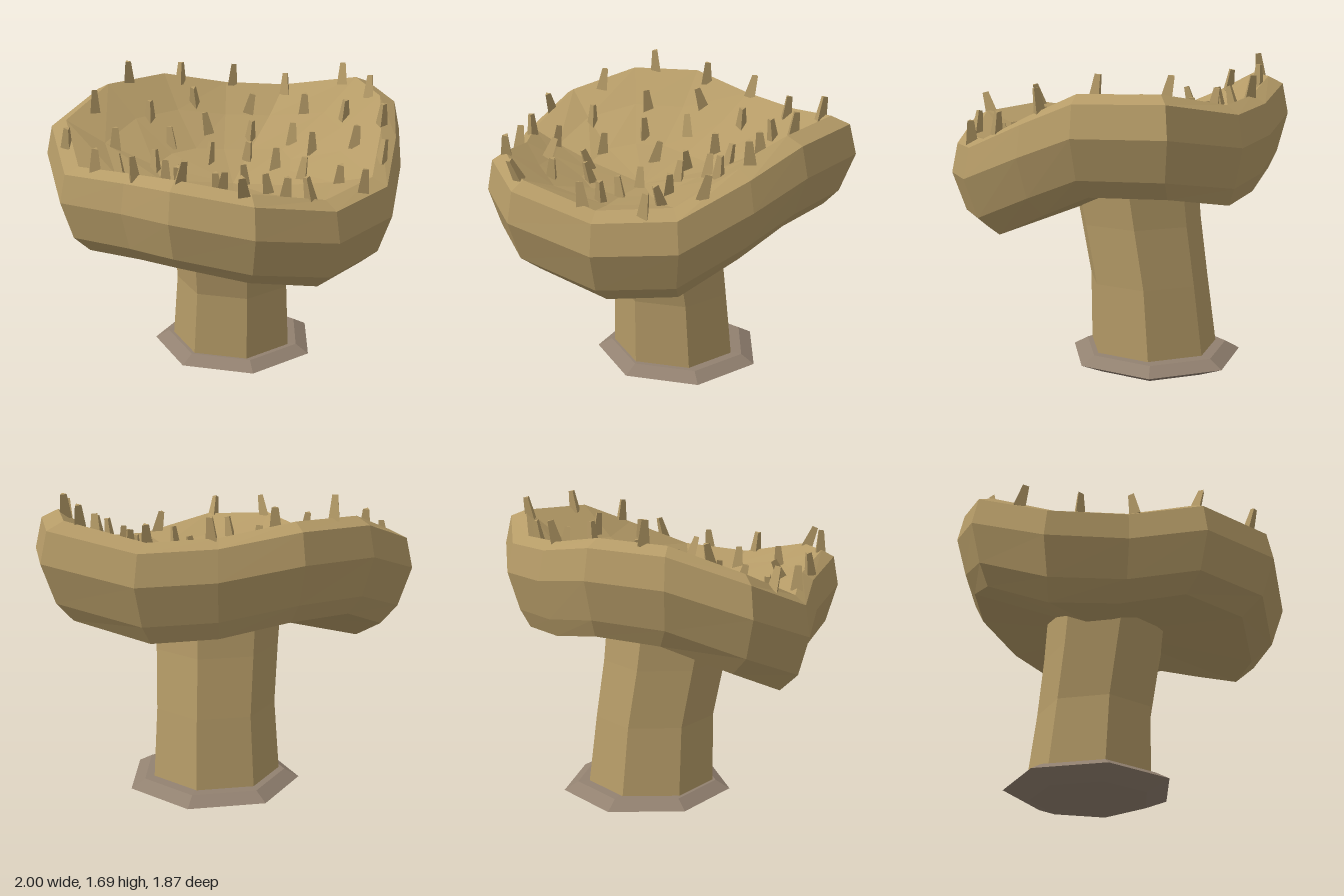
import * as THREE from 'three';

const tan = new THREE.MeshStandardMaterial({ color: 0xb59b67, flatShading: true });
tan.name = 'fungus tan';
const earth = new THREE.MeshStandardMaterial({ color: 0x928170, flatShading: true });
earth.name = 'earth grey brown';

// Skin a stack of closed loops (clockwise from above, ordered outward and up)
function loft(loops, material, name) {
  const pos = [];
  const tri = (a, b, c) => {
    if (a.equals(b) || b.equals(c) || a.equals(c)) return;
    for (const p of [a, b, c]) pos.push(p.x, p.y, p.z);
  };
  for (let i = 0; i < loops.length - 1; i++) {
    const n = loops[i].length;
    for (let j = 0; j < n; j++) {
      const k = (j + 1) % n;
      const a = loops[i][j], b = loops[i][k], c = loops[i + 1][k], d = loops[i + 1][j];
      tri(b, a, d);
      tri(b, d, c);
    }
  }
  const g = new THREE.BufferGeometry();
  g.setAttribute('position', new THREE.Float32BufferAttribute(pos, 3));
  g.computeVertexNormals();
  const mesh = new THREE.Mesh(g, material);
  mesh.name = name;
  return mesh;
}

// Seven-sided loop
const heptagon = (cx, y, cz, r) => Array.from({ length: 7 }, (_, k) => {
  const a = (25 + k * 360 / 7) * Math.PI / 180;
  return new THREE.Vector3(cx + r * Math.cos(a), y, cz + r * Math.sin(a));
});

// Cap outline: x, z and height of the outer rim edge
const outline = [
  [-1, -0.18, 1.40], [-0.77, -0.54, 1.53], [-0.42, -0.81, 1.54], [0, -0.90, 1.47],
  [0.40, -0.94, 1.45], [0.88, -0.79, 1.53], [1, -0.33, 1.52], [0.98, 0, 1.40],
  [0.90, 0.40, 1.25], [0.61, 0.72, 1.22], [0.19, 0.93, 1.31], [-0.24, 0.80, 1.34],
  [-0.51, 0.49, 1.28], [-0.87, 0.22, 1.24],
];

// Spike positions: x, z
const spikeSpots = [
  [0.03, -0.79], [0.36, -0.76], [0.70, -0.69], [-0.27, -0.70], [-0.57, -0.56], [-0.18, -0.60],
  [0.14, -0.63], [0.47, -0.57], [-0.43, -0.39], [-0.10, -0.44], [0.15, -0.43], [0.39, -0.33],
  [0.68, -0.30], [0.83, -0.37], [-0.74, -0.28], [-0.29, -0.26], [0.14, -0.24], [-0.08, -0.18],
  [-0.60, -0.11], [-0.37, -0.02], [0.29, -0.07], [0.49, -0.11], [0.87, -0.06], [0.72, 0.01],
  [-0.85, 0.02], [0.12, 0.06], [0.44, 0.12], [-0.22, 0.17], [-0.54, 0.19], [0.85, 0.22],
  [-0.66, 0.27], [-0.01, 0.30], [0.25, 0.28], [0.63, 0.31], [-0.29, 0.39], [-0.44, 0.48],
  [0.34, 0.47], [0.73, 0.48], [0.01, 0.55], [0.46, 0.66], [-0.19, 0.70], [0.13, 0.82],
];

export function createModel() {
  const group = new THREE.Group();

  // Flared foot and leaning stem
  group.add(loft([
    heptagon(0.08, 0, -0.26, 0), heptagon(0.08, 0, -0.26, 0.34), heptagon(0.07, 0.055, -0.26, 0.48),
    heptagon(0.07, 0.10, -0.26, 0.40), heptagon(0.07, 0.11, -0.25, 0),
  ], earth, 'foot'));
  group.add(loft([
    heptagon(0.06, 0.08, -0.24, 0.36), heptagon(0.065, 0.48, -0.21, 0.335),
    heptagon(0.06, 0.80, -0.15, 0.345), heptagon(0.06, 1.04, -0.11, 0.36),
  ], tan, 'stem'));

  // Bowl-shaped cap: underside, wall, rim, then the hollow
  const ring = (s, dy, dz = 0) => outline.map(([x, z, y]) => new THREE.Vector3(x * s, y + dy, z * s + dz));
  const hollow = (s, f) => outline.map(([x, z, y]) =>
    new THREE.Vector3(x * s, 1.14 + (y + 0.04 - 1.14) * f, z * s));
  const point = (x, y, z) => outline.map(() => new THREE.Vector3(x, y, z));
  const cap = loft([
    point(0.06, 0.98, -0.13), ring(0.84, -0.465, -0.05), ring(0.93, -0.37, -0.01),
    ring(1, -0.16), ring(0.965, 0), ring(0.88, 0.04),
    hollow(0.66, 0.6), hollow(0.38, 0.22), point(0.06, 1.13, 0),
  ], tan, 'cap');
  group.add(cap);

  // Stubby three-sided spikes standing on the hollow
  let seed = 7;
  const rand = () => (seed = (seed * 16807) % 2147483647) / 2147483647;
  const spikeGeo = new THREE.CylinderGeometry(0.02, 0.038, 0.13, 3);
  spikeGeo.translate(0, 0.05, 0);
  const ray = new THREE.Raycaster();
  const down = new THREE.Vector3(0, -1, 0);
  const spikes = new THREE.Group();
  spikes.name = 'spikes';
  for (const [x, z] of spikeSpots) {
    ray.set(new THREE.Vector3(x, 3, z), down);
    const hit = ray.intersectObject(cap)[0];
    if (!hit) continue;
    const spike = new THREE.Mesh(spikeGeo, tan);
    spike.name = 'spike';
    spike.position.copy(hit.point);
    spike.rotation.set((rand() - 0.5) * 0.5, rand() * 6.28, (rand() - 0.5) * 0.5);
    spikes.add(spike);
  }
  group.add(spikes);
  return group;
}
